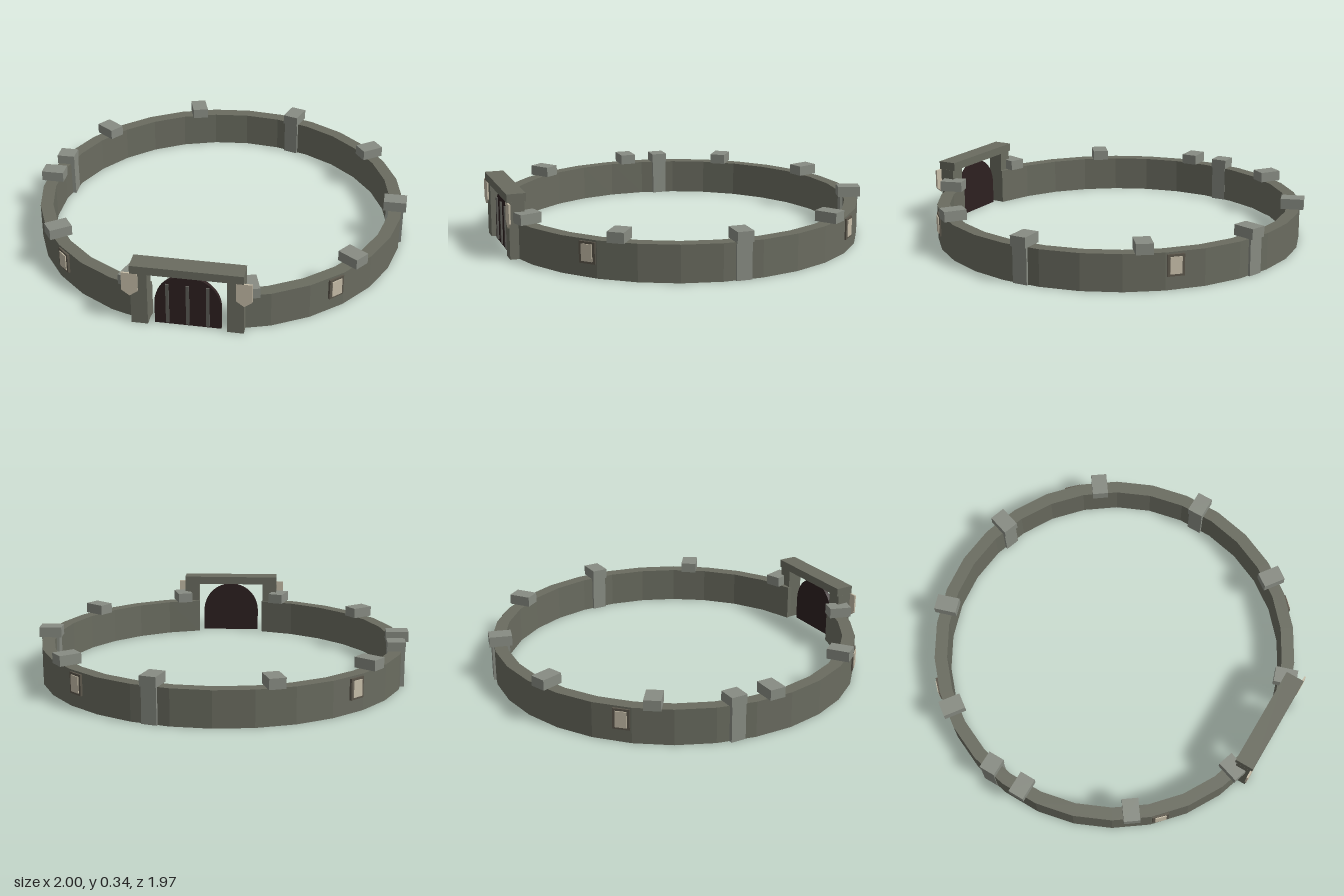
import * as THREE from 'three';

const CZ = -0.007;            // centre of the ring in z
const R_OUT = 0.98, R_IN = 0.912, R_MID = 0.94;
const WALL_H = 0.19;

const mat = (name, color) => {
  const m = new THREE.MeshStandardMaterial({ color });
  m.name = name;
  return m;
};

export function createModel() {
  const stone = mat('wall stone', 0x6a6c60);
  const paleStone = mat('pale stone', 0x888c83);
  const darkWood = mat('dark gate wood', 0x2d2020);
  const iron = mat('iron bars', 0x5c5b56);
  const frameMat = mat('plaque frame', 0x5c574c);
  const parchment = mat('parchment', 0xc6bda8);

  const model = new THREE.Group();
  model.name = 'ringWall';

  const add = (name, geo, material, x, y, z, ry = 0, parent = model) => {
    const m = new THREE.Mesh(geo, material);
    m.name = name;
    m.position.set(x, y, z);
    m.rotation.y = ry;
    parent.add(m);
    return m;
  };
  const box = (w, h, d) => new THREE.BoxGeometry(w, h, d);
  // place at an angle (degrees from the front, towards +x) facing outward
  const addPolar = (name, geo, material, deg, r, y) => {
    const a = THREE.MathUtils.degToRad(deg);
    return add(name, geo, material, Math.sin(a) * r, y, CZ + Math.cos(a) * r, a);
  };

  // Faceted ring wall, open at the gate
  const wallShape = new THREE.Shape();
  const ringPoint = (deg, r) => {
    const a = THREE.MathUtils.degToRad(deg);
    return [Math.sin(a) * r, -Math.cos(a) * r];
  };
  wallShape.moveTo(...ringPoint(12, R_OUT));
  for (let d = 24; d <= 348; d += 12) wallShape.lineTo(...ringPoint(d, R_OUT));
  for (let d = 348; d >= 12; d -= 12) wallShape.lineTo(...ringPoint(d, R_IN));
  wallShape.closePath();
  const wallGeo = new THREE.ExtrudeGeometry(wallShape, { depth: WALL_H, bevelEnabled: false });
  wallGeo.rotateX(-Math.PI / 2);
  add('wall', wallGeo, stone, 0, 0, CZ);

  // Battlement blocks
  const merlonGeo = box(0.086, 0.055, 0.12);
  for (let i = 0; i < 10; i++) {
    addPolar('merlon', merlonGeo, paleStone, 18 + i * 36, R_MID, WALL_H + 0.0275);
  }

  // Buttresses through the wall, one with its own cap
  const buttressGeo = box(0.08, WALL_H + 0.002, 0.094);
  for (const deg of [90, 162]) {
    addPolar('buttress', buttressGeo, paleStone, deg, R_MID, WALL_H / 2 + 0.001);
  }
  add('buttress', box(0.092, WALL_H + 0.002, 0.08), paleStone, -0.92, WALL_H / 2 + 0.001, -0.206);
  add('buttressCap', box(0.096, 0.05, 0.088), paleStone, -0.92, WALL_H + 0.025, -0.206);

  // Framed plaques on the outer wall
  for (const deg of [45, 135, 225, 315]) {
    addPolar('plaqueFrame', box(0.088, 0.11, 0.024), frameMat, deg, 0.974, 0.125);
    addPolar('plaqueFace', box(0.06, 0.086, 0.006), parchment, deg, 0.988, 0.125);
  }

  // Gatehouse
  const gate = new THREE.Group();
  gate.name = 'gate';
  model.add(gate);
  add('lintel', box(0.556, 0.044, 0.1), stone, 0, 0.317, 0.935, 0, gate);

  const shield = new THREE.Shape();
  shield.moveTo(0, -0.065);
  shield.lineTo(0.04, -0.035);
  shield.lineTo(0.04, 0.065);
  shield.lineTo(-0.04, 0.065);
  shield.lineTo(-0.04, -0.035);
  shield.closePath();
  const shieldGeo = new THREE.ExtrudeGeometry(shield, { depth: 0.009, bevelEnabled: false });
  for (const s of [-1, 1]) {
    add('gatePost', box(0.083, 0.295, 0.08), stone, s * 0.237, 0.1475, 0.935, 0, gate);
    add('shield', shieldGeo, parchment, s * 0.28, 0.23, 0.975, 0, gate);
  }

  // Arched door with iron bars
  const arch = new THREE.Shape();
  arch.moveTo(-0.165, 0);
  arch.lineTo(0.165, 0);
  arch.lineTo(0.165, 0.12);
  arch.absarc(0, 0.12, 0.165, 0, Math.PI, false);
  arch.closePath();
  const archGeo = new THREE.ExtrudeGeometry(arch, { depth: 0.02, bevelEnabled: false, curveSegments: 16 });
  add('door', archGeo, darkWood, 0, 0, 0.935, 0, gate);
  for (const x of [-0.1, 0, 0.1]) {
    add('doorBar', box(0.016, 0.225, 0.012), iron, x, 0.1225, 0.958, 0, gate);
  }

  return model;
}
